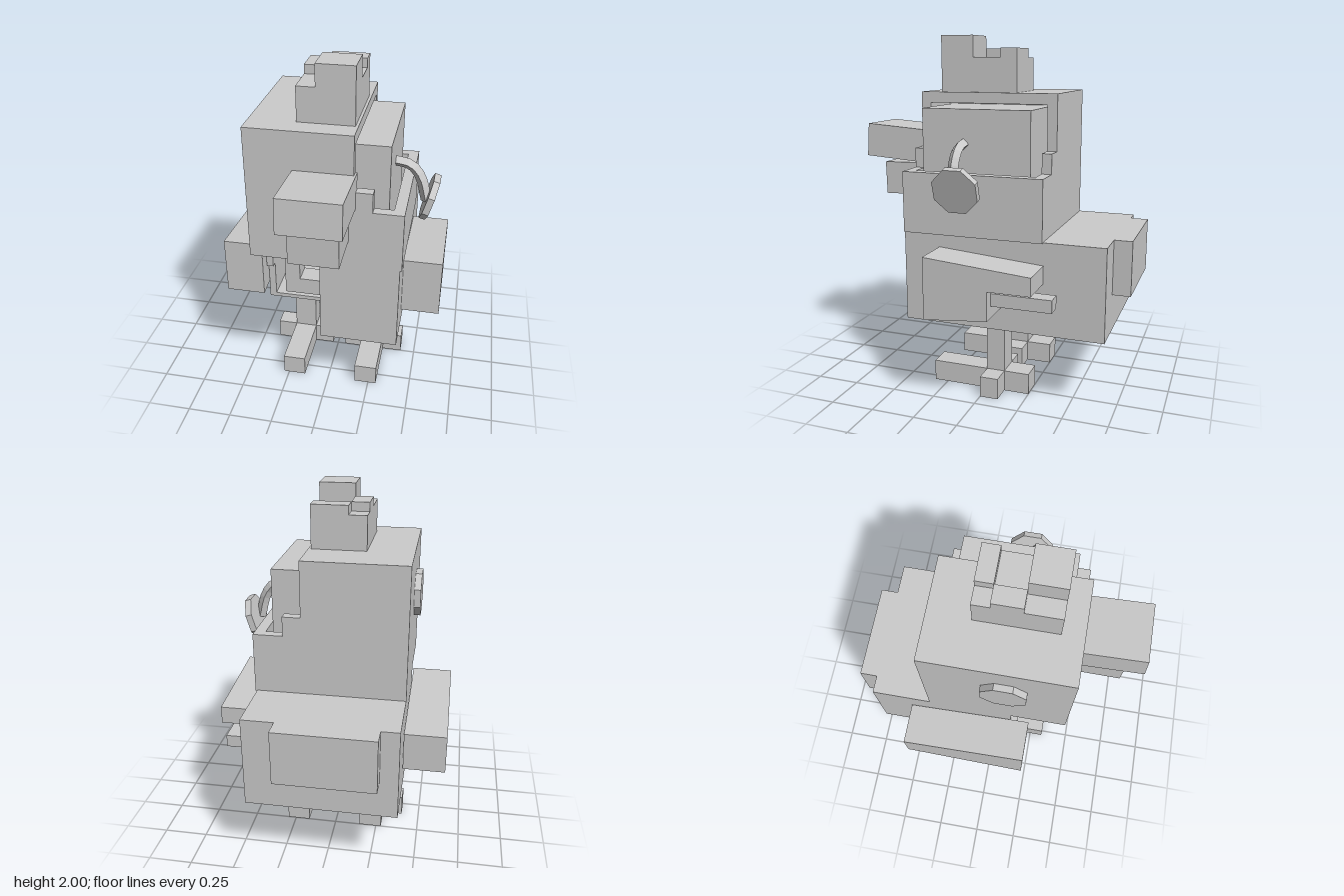
import * as THREE from 'three';

export function createModel() {
  const model = new THREE.Group();
  const mat = new THREE.MeshStandardMaterial({ color: 0xcccccc, flatShading: true });

  function add(name, geometry, parent = model) {
    const mesh = new THREE.Mesh(geometry, mat);
    mesh.name = name;
    parent.add(mesh);
    return mesh;
  }
  // Box given by its limits on each axis
  function box(name, x0, x1, y0, y1, z0, z1) {
    const g = new THREE.BoxGeometry(x1 - x0, y1 - y0, z1 - z0);
    g.translate((x0 + x1) / 2, (y0 + y1) / 2, (z0 + z1) / 2);
    return add(name, g);
  }
  // Outline extruded in depth
  function slab(name, points, depth) {
    const shape = new THREE.Shape(points.map(p => new THREE.Vector2(...p)));
    return add(name, new THREE.ExtrudeGeometry(shape, { depth, bevelEnabled: false }));
  }

  // Lower body, with the front right corner torn open
  box('lowerBody', -0.02, 0.42, 0.42, 0.935, -0.7, 0.44);
  box('lowerBodyRear', -0.41, -0.02, 0.42, 0.935, -0.7, -0.3);
  box('lowerSideShell', -0.41, -0.37, 0.42, 0.935, -0.3, 0.12);
  box('lowerSideShellChip', -0.41, -0.37, 0.67, 0.77, 0.12, 0.16);
  box('lowerFloorShell', -0.37, -0.02, 0.42, 0.445, -0.3, 0.12);
  box('innerStrut', -0.29, -0.2, 0.51, 0.935, 0.06, 0.18);
  box('innerStrutFoot', -0.2, -0.02, 0.51, 0.615, 0.06, 0.18);
  box('tail', -0.31, 0.24, 0.63, 0.935, -0.8, -0.7);

  // Head shell, torn open on the upper left
  const wall = [[-0.41, 0.93], [0.43, 0.93], [0.43, 1.27], [0.265, 1.27],
    [0.265, 1.38], [0.165, 1.38], [0.165, 1.69], [-0.41, 1.69]];
  slab('headFrontWall', wall, 0.055).position.z = 0.385;
  slab('headBackWall', wall, 0.055).position.z = -0.36;
  box('headLeftWall', 0.37, 0.43, 0.93, 1.27, -0.305, 0.385);
  box('headRoof', -0.41, 0.165, 1.63, 1.69, -0.305, 0.385);
  box('headRightSide', -0.41, -0.1, 0.93, 1.63, -0.305, 0.385);
  box('headFloor', -0.1, 0.37, 0.93, 0.96, -0.305, 0.385);
  box('innerHead', -0.1, 0.34, 0.96, 1.61, -0.265, 0.355);

  // Comb: six columns of differing height
  const xs = [-0.155, -0.055, 0.15], zs = [-0.125, -0.03, 0.13, 0.32];
  const tops = [[1.88, 1.93], [1.93, 1.88], [1.88, 2.0]];
  tops.forEach((row, j) => row.forEach((top, i) =>
    box('comb', xs[i], xs[i + 1], 1.69, top, zs[j], zs[j + 1])));

  // Beak halves, tilted apart
  function beak(name, x0, x1, height, length, y, tilt) {
    const g = new THREE.BoxGeometry(x1 - x0, height, length);
    g.translate((x0 + x1) / 2, 0, length / 2);
    const mesh = add(name, g);
    mesh.position.set(0, y, 0.4);
    mesh.rotation.x = tilt;
  }
  beak('upperBeak', -0.155, 0.175, 0.19, 0.395, 1.377, -0.072);
  beak('lowerBeak', -0.125, 0.14, 0.19, 0.3, 1.183, 0.02);

  // Octagonal eyes: one in place, one hanging from its cable
  function eye(name, x, y, z, tilt) {
    const r = 0.1225 / Math.cos(Math.PI / 8);
    const g = new THREE.CylinderGeometry(r, r, 0.037, 8);
    g.rotateY(Math.PI / 8);
    g.rotateZ(Math.PI / 2);
    const mesh = add(name, g);
    mesh.position.set(x, y, z);
    mesh.rotation.z = tilt;
  }
  eye('rightEye', -0.428, 1.41, 0.08, 0);
  eye('hangingEye', 0.533, 1.203, 0.08, -0.29);
  const cable = new THREE.CatmullRomCurve3([[0.32, 1.425], [0.42, 1.405],
    [0.475, 1.34], [0.515, 1.2]].map(([x, y]) => new THREE.Vector3(x, y, 0.113)));
  add('eyeCable', new THREE.TubeGeometry(cable, 8, 0.03, 4));

  // Wings: tapering right one, broken left one with a bare strut
  const rightWing = [[0.23, 0.515], [0.23, 0.86], [-0.48, 0.8], [-0.48, 0.583]];
  const leftWing = [[0.23, 0.515], [0.23, 0.86], [-0.365, 0.81], [-0.365, 0.71],
    [-0.13, 0.71], [-0.13, 0.55]];
  function wing(name, outline, x) {
    const mesh = slab(name, outline.map(([z, y]) => [-z, y]), 0.23);
    mesh.rotation.y = Math.PI / 2;
    mesh.position.x = x;
  }
  wing('rightWing', rightWing, -0.643);
  wing('leftWing', leftWing, 0.41);
  box('leftWingStrut', 0.5, 0.585, 0.615, 0.685, -0.46, -0.1);

  // Legs and cross-shaped feet
  for (const [side, x] of [['right', -0.214], ['left', 0.231]]) {
    box(side + 'Leg', x - 0.066, x + 0.066, 0.12, 0.43, -0.105, 0);
    box(side + 'Foot', x - 0.066, x + 0.066, 0, 0.12, -0.25, 0.33);
    for (const s of [-1, 1]) {
      const a = x + s * 0.066, b = x + s * 0.182;
      box(side + 'SideToe', Math.min(a, b), Math.max(a, b), 0, 0.12, -0.105, 0);
    }
  }
  return model;
}
